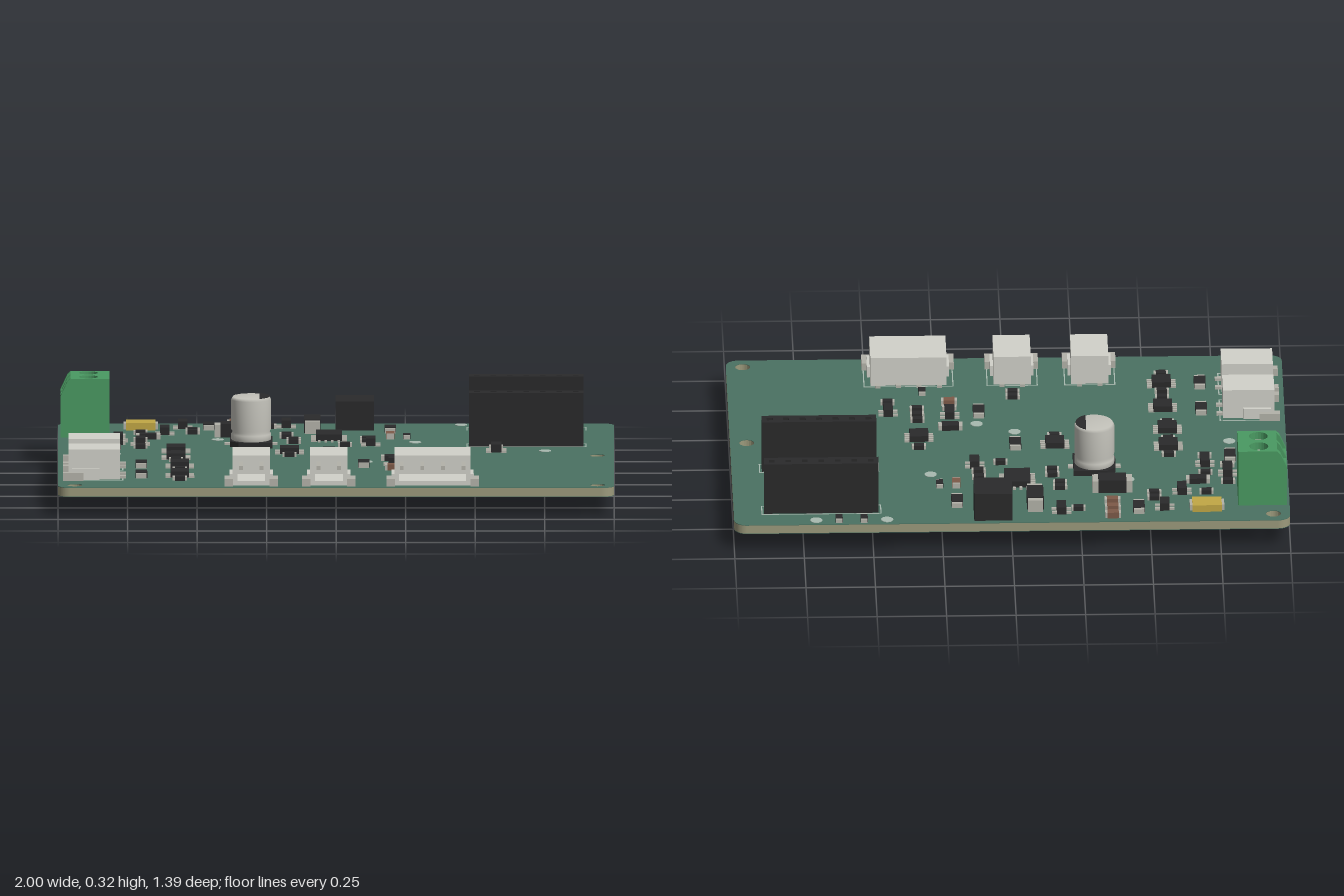
import * as THREE from 'three';

const mat = (color) => new THREE.MeshStandardMaterial({ color });
const TOP = 0.107, BOTTOM = 0.072;

export function createModel() {
  const M = {
    mask: mat(0x4b7262), core: mat(0x9c9a7c), black: mat(0x2a2a2b), dark: mat(0x1c1c1c),
    shell: mat(0xd2d2ca), metal: mat(0xb4b3aa), green: mat(0x4a9a62), gold: mat(0xc2a845),
    brown: mat(0x7d5a48), pin: mat(0xb08850), silk: mat(0xa9bab0), can: mat(0xc4c3bb),
  };
  const root = new THREE.Group();
  root.name = 'circuitBoard';

  const group = (name, x = 0, y = 0, z = 0, turn = 0, parent = root) => {
    const g = new THREE.Group();
    g.name = name;
    g.position.set(x, y, z);
    g.rotation.y = turn;
    parent.add(g);
    return g;
  };
  const add = (parent, name, geo, material, x = 0, y = 0, z = 0) => {
    const m = new THREE.Mesh(geo, material);
    m.name = name;
    m.position.set(x, y, z);
    parent.add(m);
    return m;
  };
  // Box standing on height y
  const box = (parent, name, material, w, h, d, x, y, z) =>
    add(parent, name, new THREE.BoxGeometry(w, h, d), material, x, y + h / 2, z);
  const cyl = (parent, name, material, r, h, x, y, z, n = 20) =>
    add(parent, name, new THREE.CylinderGeometry(r, r, h, n), material, x, y + h / 2, z);

  const rect = (S, w, h, cx = 0, cy = 0) => {
    const s = new S();
    s.moveTo(cx - w / 2, cy - h / 2);
    s.lineTo(cx + w / 2, cy - h / 2);
    s.lineTo(cx + w / 2, cy + h / 2);
    s.lineTo(cx - w / 2, cy + h / 2);
    s.closePath();
    return s;
  };
  const extrude = (shape, depth) =>
    new THREE.ExtrudeGeometry(shape, { depth, bevelEnabled: false, curveSegments: 10 });
  // Extrude a plan drawn as (x, -z) upwards
  const plate = (shape, h) => extrude(shape, h).rotateX(-Math.PI / 2);
  const circleHole = (shape, x, y, r) =>
    shape.holes.push(new THREE.Path().absarc(x, y, r, 0, Math.PI * 2, true));

  // Board: rounded core between two coloured skins, four mounting holes
  const W = 1, D = 0.695, R = 0.045;
  const outline = new THREE.Shape();
  outline.absarc(W - R, D - R, R, 0, Math.PI / 2);
  outline.absarc(-W + R, D - R, R, Math.PI / 2, Math.PI);
  outline.absarc(-W + R, -D + R, R, Math.PI, Math.PI * 1.5);
  outline.absarc(W - R, -D + R, R, Math.PI * 1.5, Math.PI * 2);
  outline.closePath();
  for (const [x, z] of [[-0.94, -0.64], [-0.94, 0.64], [0.94, 0.64], [0.94, 0]]) circleHole(outline, x, -z, 0.027);
  const board = group('board');
  const skin = 0.002;
  add(board, 'boardCore', plate(outline, TOP - BOTTOM - 2 * skin), M.core, 0, BOTTOM + skin, 0);
  add(board, 'topSkin', plate(outline, skin), M.mask, 0, TOP - skin, 0);
  add(board, 'bottomSkin', plate(outline, skin), M.mask, 0, BOTTOM, 0);

  // Bare test pads
  for (const [x, z] of [[0.45, -0.66], [0.705, -0.66], [0.285, -0.283], [0.752, -0.096],
    [-0.425, -0.34], [-0.795, -0.027], [-0.025, 0.07], [0.11, 0.14]])
    cyl(root, 'testPad', M.silk, 0.022, 0.002, x, TOP, z);

  // Thin printed frame round a part
  const frame = (parent, w, d, x, z) => {
    const s = rect(THREE.Shape, w, d);
    s.holes.push(rect(THREE.Path, w - 0.008, d - 0.008));
    add(parent, 'printedOutline', plate(s, 0.001), M.silk, x, parent === root ? TOP : 0, z);
  };

  // Tall socket strips with seven contacts
  for (const z of [-0.572, -0.217]) {
    const g = group('socketStrip', 0.685, TOP, z);
    const s = rect(THREE.Shape, 0.412, 0.056);
    for (let i = -3; i <= 3; i++) {
      s.holes.push(rect(THREE.Path, 0.02, 0.02, i * 0.0593, 0));
      box(g, 'socketPin', M.pin, 0.01, 0.08, 0.01, i * 0.0593, -0.072, 0);
    }
    box(g, 'socketBase', M.black, 0.412, 0.12, 0.056, 0, 0, 0);
    add(g, 'socketTop', plate(s, 0.076), M.black, 0, 0.12, 0);
    frame(g, 0.432, 0.074, 0, 0);
  }

  // Open-fronted wire connectors, local front is +z
  const connector = (x, z, w, pins, turn) => {
    const g = group('wireConnector', x, TOP, z, turn);
    const s = rect(THREE.Shape, w, 0.11, 0, 0.055);
    s.holes.push(rect(THREE.Path, w - 0.034, 0.078, 0, 0.057));
    add(g, 'connectorShell', extrude(s, 0.15), M.shell, 0, 0, -0.058);
    box(g, 'connectorBack', M.shell, w, 0.11, 0.036, 0, 0, -0.075);
    for (const side of [-1, 1]) {
      box(g, 'solderTab', M.metal, 0.03, 0.028, 0.075, side * (w / 2 + 0.014), 0, 0.075);
      box(g, 'shellFoot', M.shell, 0.012, 0.04, 0.1, side * (w / 2 + 0.005), 0, 0.03);
    }
    for (let i = 0; i < pins; i++) {
      const px = (i - (pins - 1) / 2) * 0.074;
      box(g, 'contact', M.metal, 0.014, 0.014, 0.11, px, 0.05, -0.01);
      box(g, 'solderLead', M.metal, 0.018, 0.01, 0.03, px, 0, -0.1);
    }
    frame(g, w + 0.05, 0.19, 0, -0.01);
  };
  connector(-0.305, 0.563, 0.134, 2, 0);
  connector(-0.026, 0.563, 0.134, 2, 0);
  connector(0.347, 0.563, 0.274, 4, 0);
  connector(-0.87, 0.235, 0.131, 2, -Math.PI / 2);
  connector(-0.87, 0.455, 0.131, 2, -Math.PI / 2);

  // Two-way screw terminal, wire mouths face -x
  const term = group('screwTerminal', -0.885, TOP, -0.481);
  const cells = [-0.043, 0.043];
  box(term, 'terminalBody', M.green, 0.115, 0.15, 0.176, 0.0125, 0, 0);
  const mouth = rect(THREE.Shape, 0.176, 0.15, 0, 0.075);
  const crown = rect(THREE.Shape, 0.14, 0.176);
  for (const z of cells) {
    mouth.holes.push(rect(THREE.Path, 0.056, 0.07, z, 0.055));
    circleHole(crown, -0.005, z, 0.034);
    cyl(term, 'screwHead', M.metal, 0.031, 0.035, -0.005, 0.15, z);
    box(term, 'screwSlot', M.dark, 0.05, 0.002, 0.008, -0.005, 0.185, z);
    cyl(term, 'terminalPin', M.metal, 0.011, TOP + 0.01, 0, -TOP, z, 12);
  }
  add(term, 'terminalMouth', extrude(mouth, 0.06).rotateY(-Math.PI / 2), M.green, -0.045, 0, 0);
  add(term, 'terminalCrown', plate(crown, 0.063), M.green, 0, 0.15, 0);
  // Sloped ribs on the wire side
  const rib = new THREE.Shape([[-0.105, 0.15], [-0.07, 0.15], [-0.07, 0.213], [-0.082, 0.2]]
    .map(([x, y]) => new THREE.Vector2(x, y)));
  for (const z of [-0.088, -0.01, 0.068]) add(term, 'terminalRib', extrude(rib, 0.02), M.green, 0, 0, z);

  // Electrolytic can on a base with two clipped corners
  const can = group('canCapacitor', -0.305, TOP, -0.232);
  const base = new THREE.Shape([[-0.045, -0.076], [0.076, -0.076], [0.076, 0.076], [-0.045, 0.076],
    [-0.076, 0.045], [-0.076, -0.045]].map(([x, y]) => new THREE.Vector2(x, y)));
  add(can, 'canBase', plate(base, 0.02), M.black);
  for (const s of [-1, 1]) box(can, 'canLead', M.metal, 0.03, 0.008, 0.02, s * 0.08, 0, 0);
  const profile = [[0.066, 0.015], [0.072, 0.022], [0.072, 0.042], [0.066, 0.05], [0.072, 0.058],
    [0.072, 0.167], [0.066, 0.177], [0, 0.177]].map(([r, y]) => new THREE.Vector2(r, y));
  add(can, 'canBody', new THREE.LatheGeometry(profile, 32), M.can);
  const mark = new THREE.Shape().absarc(0, 0, 0.067, -1.1, 1.1);
  mark.closePath();
  add(can, 'polarityMark', plate(mark, 0.002), M.black, 0, 0.177, 0);

  // Inductor block and resettable fuse
  box(root, 'inductor', M.black, 0.138, 0.106, 0.14, 0.068, TOP, -0.607);
  const fuse = group('fuse', -0.702, TOP, -0.583);
  box(fuse, 'fuseBody', M.gold, 0.106, 0.026, 0.074, 0, 0, 0);
  for (const s of [-1, 1]) box(fuse, 'fuseEnd', M.metal, 0.012, 0.022, 0.05, s * 0.056, 0, 0);

  // Chips: body with rows of leads on two or four sides
  const chip = (name, x, z, w, d, h, perSide, perEnd = 0) => {
    const g = group(name, x, TOP, z);
    box(g, 'chipBody', M.black, w, h, d, 0, 0.003, 0);
    for (const s of [-1, 1]) {
      for (let i = 0; i < perSide; i++)
        box(g, 'lead', M.metal, 0.022, 0.008, 0.01, s * (w / 2 + 0.007), 0, ((i + 0.5) / perSide - 0.5) * d);
      for (let i = 0; i < perEnd; i++)
        box(g, 'lead', M.metal, 0.01, 0.008, 0.02, ((i + 0.5) / perEnd - 0.5) * w, 0, s * (d / 2 + 0.005));
    }
  };
  for (const [x, z] of [[-0.575, -0.072], [-0.575, 0.07], [-0.562, 0.253], [-0.562, 0.457],
    [-0.167, -0.047], [0.32, 0.022]]) chip('smallChip', x, z, 0.068, 0.068, 0.022, 4);
  chip('powerChip', -0.025, -0.348, 0.094, 0.115, 0.024, 6, 4);
  for (const [x, z] of [[-0.783, -0.303], [-0.703, -0.222], [-0.615, -0.453], [-0.55, -0.583],
    [-0.178, -0.605], [0.125, -0.213], [0.205, 0.205], [0.426, 0.23]])
    chip('transistor', x, z, 0.034, 0.062, 0.028, 2);
  chip('sixLeadChip', 0.576, -0.083, 0.038, 0.064, 0.028, 3);

  // Two-ended parts: body along x with metal ends, optionally turned
  const chipPart = (name, x, z, len, wid, h, upright, material = M.black) => {
    const g = group(name, x, TOP, z, upright ? Math.PI / 2 : 0);
    box(g, 'partBody', material, len * 0.72, h, wid, 0, 0, 0);
    for (const s of [-1, 1]) box(g, 'partEnd', M.metal, len * 0.16, h * 0.9, wid * 0.9, s * len * 0.43, 0, 0);
  };
  chipPart('largeDiode', -0.365, -0.42, 0.14, 0.068, 0.05, false);
  chipPart('largeDiode', -0.085, -0.535, 0.14, 0.06, 0.05, true);
  for (const [x, z] of [[-0.89, -0.305], [-0.89, -0.176], [-0.794, -0.163], [-0.457, -0.588], [0.195, -0.523],
    [-0.025, -0.045], [0.1, 0.23], [-0.7, 0.235], [-0.7, 0.455]])
    chipPart('mediumPart', x, z, 0.085, 0.042, 0.02, true);
  for (const [x, z] of [[-0.675, -0.363], [0.205, 0.105]]) chipPart('mediumPart', x, z, 0.085, 0.04, 0.02, false);
  for (const [x, z] of [[-0.703, -0.46], [-0.783, -0.375], [-0.783, -0.237], [-0.703, -0.3], [-0.703, -0.158],
    [-0.575, -0.143], [-0.575, -0.01], [-0.575, 0.128], [-0.562, 0.335], [-0.562, 0.535], [-0.562, 0.39],
    [-0.515, -0.465], [-0.515, -0.508], [-0.24, -0.59], [-0.178, -0.41], [-0.178, -0.375], [-0.152, -0.303],
    [-0.152, -0.262], [0.032, -0.197], [0.112, -0.322], [0.112, -0.268], [-0.167, 0.022], [-0.025, 0.355],
    [-0.025, 0.393], [0.322, -0.06], [0.322, 0.165], [0.322, 0.21], [0.322, 0.257], [0.426, 0.315],
    [0.205, 0.265], [0.576, -0.14]]) chipPart('smallPart', x, z, 0.05, 0.026, 0.016, false);
  for (const [x, z] of [[0.255, -0.375], [0.3, 0.405], [0.533, -0.66], [0.623, -0.66]])
    chipPart('smallPart', x, z, 0.05, 0.026, 0.016, true);
  for (const [x, z] of [[-0.363, -0.652], [-0.363, -0.595], [-0.363, -0.535], [0.205, 0.31]])
    chipPart('ceramicCapacitor', x, z, 0.056, 0.03, 0.022, false, M.brown);
  chipPart('ceramicCapacitor', 0.195, -0.375, 0.056, 0.03, 0.022, true, M.brown);

  return root;
}
